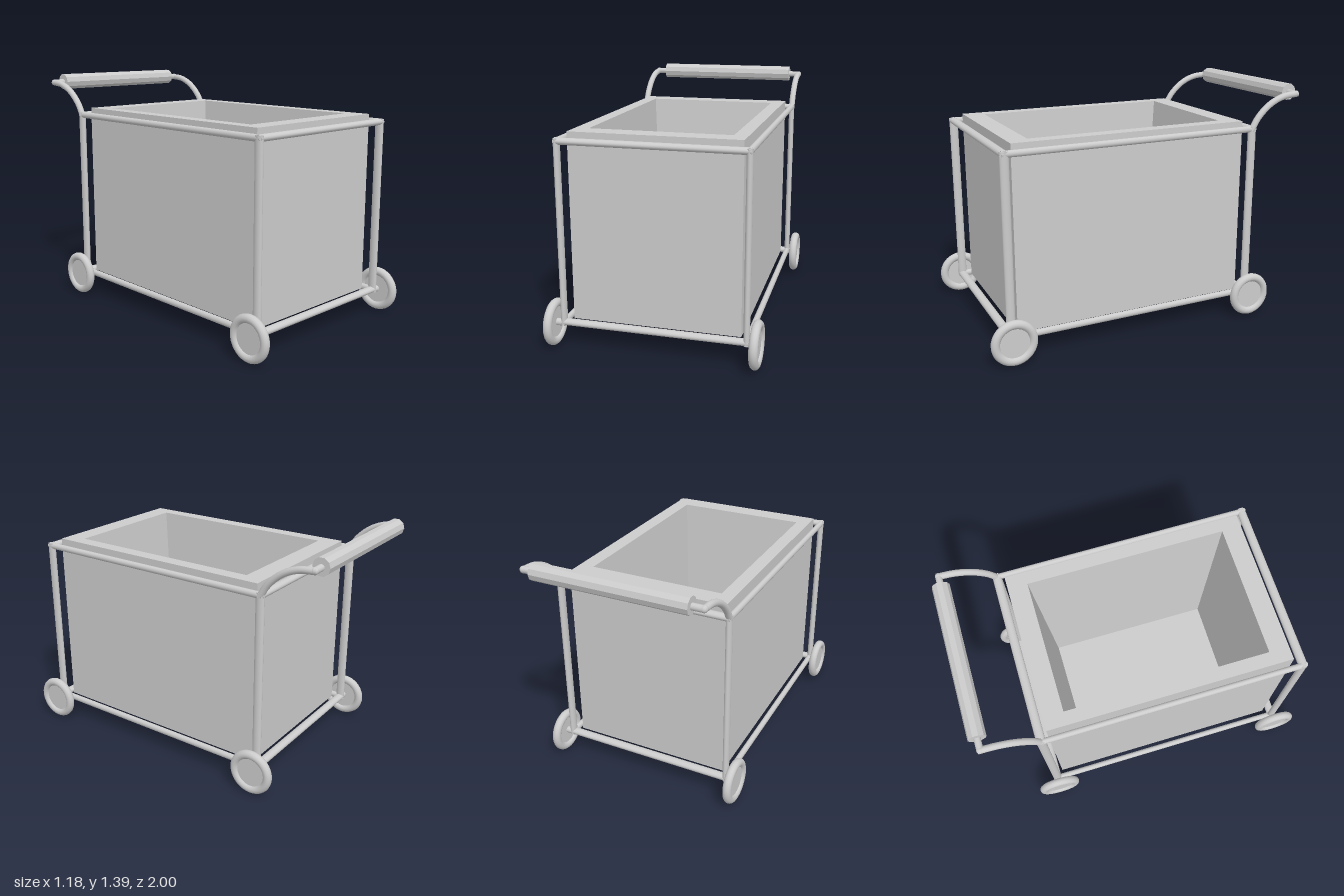
import * as THREE from 'three';

const mat = new THREE.MeshStandardMaterial({ color: 0xcccccc });
const matFlat = new THREE.MeshStandardMaterial({ color: 0xcccccc, flatShading: true });

const X = 0.513, FRONT = 0.867, BACK = -0.645, LOW = 0.138, HIGH = 1.156;
const RX = 0.017, RY = 0.019, RZ = 0.026; // bar radii, slightly oval

function add(parent, name, geometry, material = mat) {
  const mesh = new THREE.Mesh(geometry, material);
  mesh.name = name;
  parent.add(mesh);
  return mesh;
}

// Oval bar of given length along one axis
function bar(parent, name, axis, length, x, y, z) {
  const g = new THREE.CylinderGeometry(1, 1, length, 16);
  if (axis === 'x') g.rotateZ(Math.PI / 2).scale(1, RY, RZ);
  else if (axis === 'z') g.rotateX(Math.PI / 2).scale(RX, RY, 1);
  else g.scale(RX, 1, RZ);
  add(parent, name, g).position.set(x, y, z);
}

// Skin over a series of rectangular rings [halfX, y, halfZ]; zero size closes an end
function rectLoft(rings) {
  const signs = [[1, 1], [1, -1], [-1, -1], [-1, 1]];
  const pos = [];
  for (let i = 0; i < rings.length - 1; i++) {
    for (let k = 0; k < 4; k++) {
      const corner = (ring, s) => [ring[0] * s[0], ring[1], ring[2] * s[1]];
      const s = signs[k], t = signs[(k + 1) % 4];
      const a = corner(rings[i], s), b = corner(rings[i], t);
      const c = corner(rings[i + 1], t), d = corner(rings[i + 1], s);
      pos.push(...a, ...b, ...c, ...a, ...c, ...d);
    }
  }
  const g = new THREE.BufferGeometry();
  g.setAttribute('position', new THREE.Float32BufferAttribute(pos, 3));
  g.computeVertexNormals();
  return g;
}

export function createModel() {
  const cart = new THREE.Group();
  cart.name = 'cart';

  // Thick-walled open bin with a tapering cavity
  const bin = add(cart, 'bin', rectLoft([
    [0, 0.14, 0], [0.475, 0.14, 0.71], [0.475, 1.2, 0.71],
    [0.397, 1.2, 0.593], [0.343, 0.22, 0.51], [0, 0.22, 0],
  ]), matFlat);
  bin.position.z = 0.108;

  // Tubular frame
  const frame = new THREE.Group();
  frame.name = 'frame';
  cart.add(frame);
  const midZ = (FRONT + BACK) / 2;
  for (const y of [LOW, HIGH]) {
    for (const z of [FRONT, BACK]) bar(frame, 'crossBar', 'x', 2 * X + 0.02, 0, y, z);
    for (const s of [-1, 1]) bar(frame, 'sideBar', 'z', FRONT - BACK + 0.03, s * X, y, midZ);
  }
  for (const s of [-1, 1]) for (const z of [FRONT, BACK]) {
    bar(frame, 'post', 'y', HIGH - LOW + 0.03, s * X, (HIGH + LOW) / 2, z);
  }

  // Wheels with rounded tyres, thin discs and axle stubs
  for (const s of [-1, 1]) for (const z of [FRONT, BACK]) {
    const wheel = new THREE.Group();
    wheel.name = 'wheel';
    wheel.position.set(s * 0.567, 0.132, z);
    cart.add(wheel);
    add(wheel, 'tyre', new THREE.TorusGeometry(0.107, 0.025, 14, 36).rotateY(Math.PI / 2));
    add(wheel, 'disc', new THREE.CylinderGeometry(0.095, 0.095, 0.02, 36).rotateZ(Math.PI / 2));
    const axle = add(wheel, 'axle', new THREE.CylinderGeometry(0.02, 0.02, 0.06, 16).rotateZ(Math.PI / 2));
    axle.position.x = -s * 0.035;
  }

  // Curved handle arms
  const handleY = 1.344, handleZ = -0.947;
  for (const s of [-1, 1]) {
    const path = new THREE.CatmullRomCurve3([
      [HIGH - 0.01, BACK + 0.005], [1.225, -0.69], [1.295, -0.77], [1.333, -0.86], [handleY, handleZ - 0.012],
    ].map(([y, z]) => new THREE.Vector3(s * X, y, z)));
    add(cart, 'handleArm', new THREE.TubeGeometry(path, 24, 0.019, 14));
    const cap = add(cart, 'armEnd', new THREE.SphereGeometry(0.02, 14, 10));
    cap.position.set(s * X, handleY, handleZ);
  }

  // Push bar and faceted grip
  const pushBar = add(cart, 'pushBar', new THREE.CylinderGeometry(0.019, 0.019, 2 * X, 16).rotateZ(Math.PI / 2));
  pushBar.position.set(0, handleY, handleZ);
  const grip = add(cart, 'grip', new THREE.CylinderGeometry(0.05, 0.05, 0.9, 10).rotateZ(Math.PI / 2), matFlat);
  grip.position.set(0, handleY + 0.003, handleZ);

  return cart;
}
